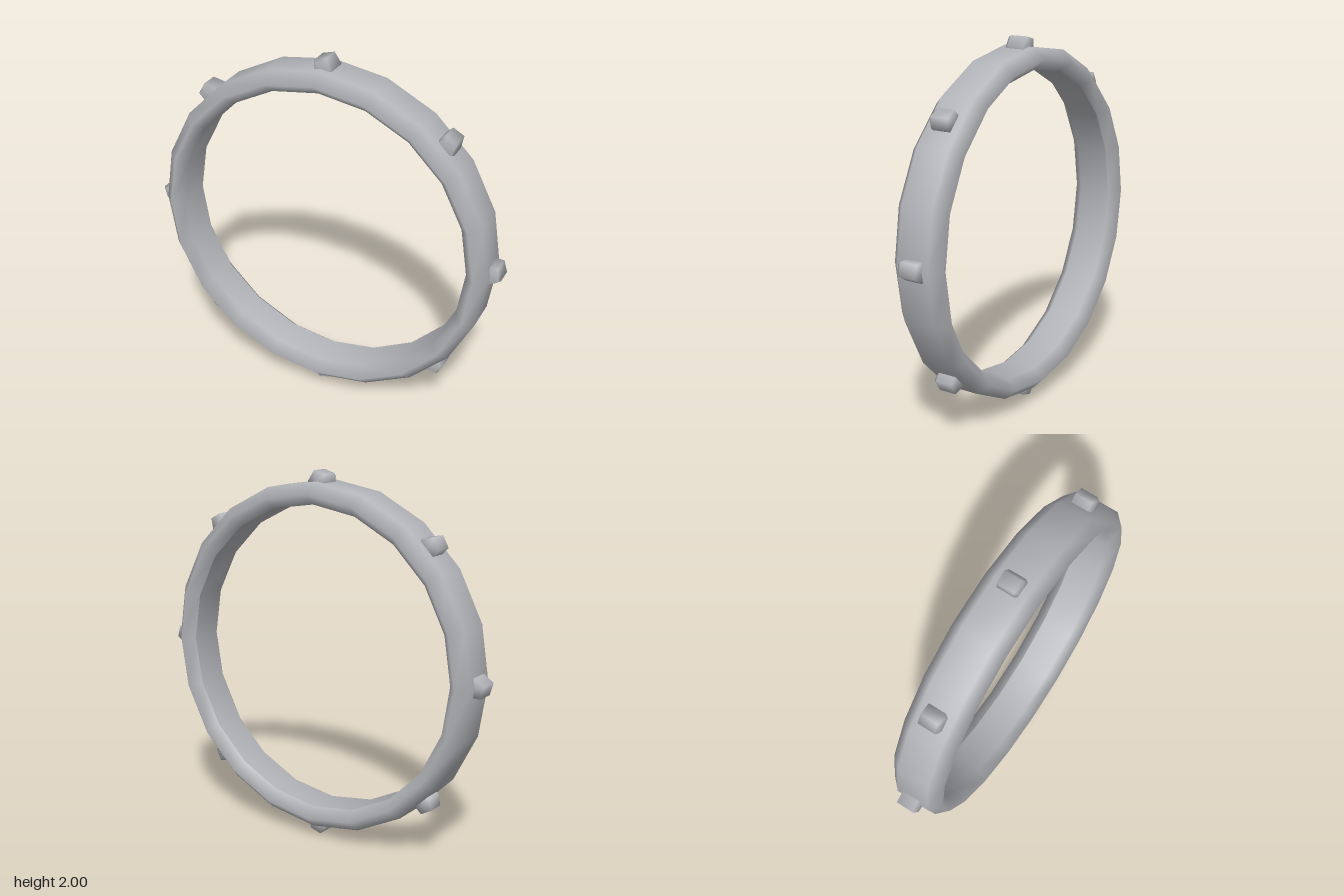
import * as THREE from 'three';

// Revolve a [radius, z] profile around the z axis
function revolve(profile, sides) {
  const points = profile.map(([r, z]) => new THREE.Vector2(r, z));
  return new THREE.LatheGeometry(points, sides).rotateX(Math.PI / 2);
}

export function createModel() {
  const metal = new THREE.MeshStandardMaterial({ color: 0xb4b5ba });
  metal.name = 'grey metal';
  const model = new THREE.Group();
  model.name = 'studdedRing';

  // Hoop: six-sided section with its seam on the inner back edge
  const band = new THREE.Mesh(revolve([
    [0.83, -0.09], [0.885, -0.15], [0.945, -0.09],
    [0.945, 0.09], [0.885, 0.15], [0.83, 0.09], [0.83, -0.09],
  ], 20), metal);
  band.name = 'band';
  band.position.y = 1;
  model.add(band);

  // Eight five-sided studs, slightly bevelled at the front
  const studGeometry = revolve([
    [0, -0.055], [0.058, -0.055], [0.058, 0.04], [0.047, 0.055], [0, 0.055],
  ], 5);
  for (let i = 0; i < 8; i++) {
    const angle = (i * Math.PI) / 4;
    const stud = new THREE.Mesh(studGeometry, metal);
    stud.name = 'stud' + (i + 1);
    stud.position.set(0.945 * Math.cos(angle), 1 + 0.945 * Math.sin(angle), 0);
    stud.rotation.z = angle - 0.035;
    model.add(stud);
  }
  return model;
}
